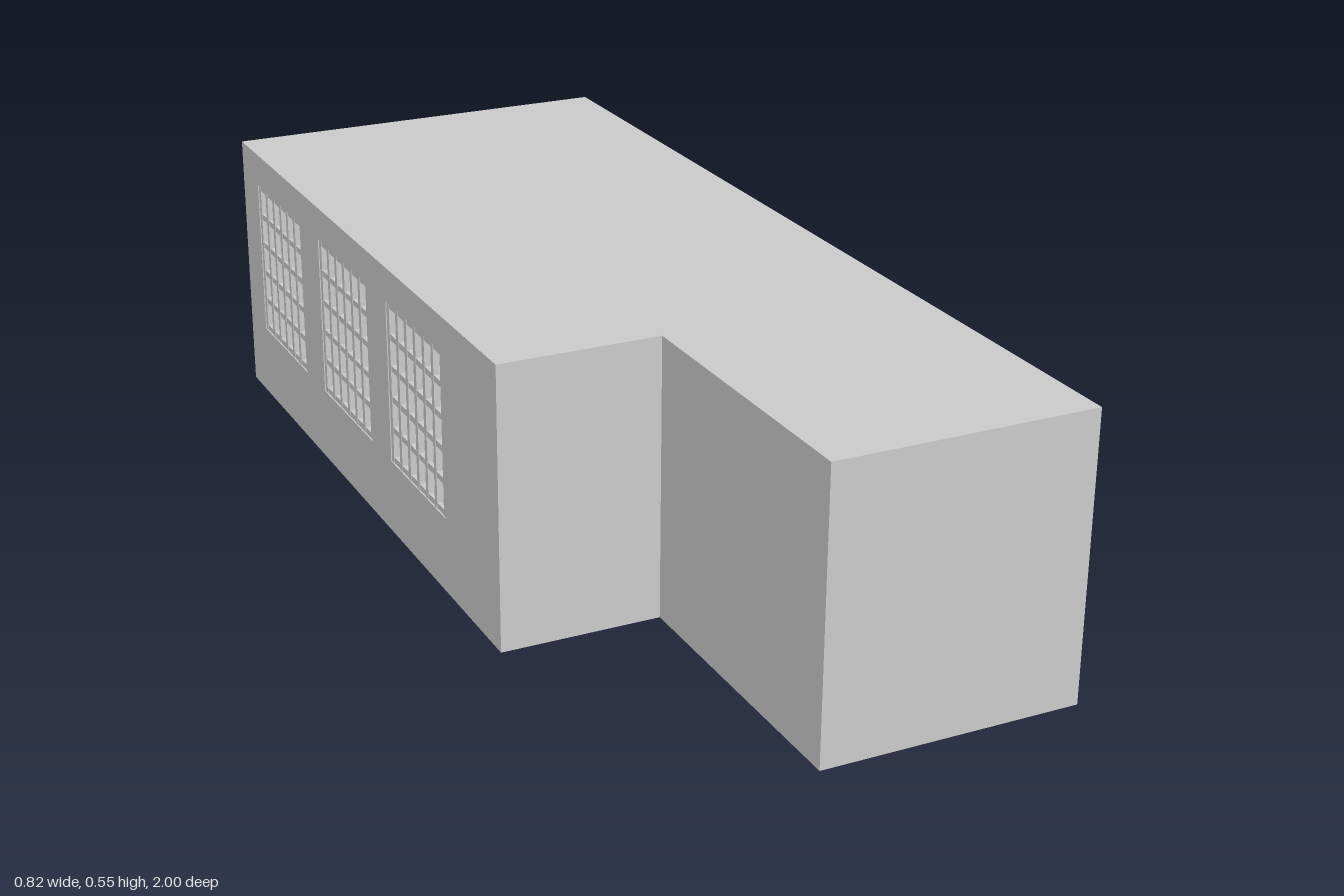
import * as THREE from 'three';

const W = 0.408, H = 0.55, T = 0.02;        // half width, height, wall thickness
const FLOOR = 0.006, ROOF = 0.012;          // slab thicknesses
const STEP_X = -0.095, STEP_Z = 0.415;      // inner corner of the L-shaped plan
const material = new THREE.MeshStandardMaterial({ color: 0xcccccc, flatShading: true });

function add(parent, name, geometry) {
  const mesh = new THREE.Mesh(geometry, material);
  mesh.name = name;
  parent.add(mesh);
  return mesh;
}

// box given by its minimum and maximum corners
function block(parent, name, [x0, y0, z0], [x1, y1, z1]) {
  add(parent, name, new THREE.BoxGeometry(x1 - x0, y1 - y0, z1 - z0))
    .position.set((x0 + x1) / 2, (y0 + y1) / 2, (z0 + z1) / 2);
}

// closed outline from corner points
const outline = (points, Type = THREE.Shape) => new Type(points.map(p => new THREE.Vector2(...p)));
const rect = (a0, b0, a1, b1) => [[a0, b0], [a1, b0], [a1, b1], [a0, b1]];

// L-shaped slab whose upper face lies at y = top
function slab(parent, name, top, depth) {
  const shape = outline([[-W, -1], [W, -1], [W, 1], [STEP_X, 1], [STEP_X, STEP_Z], [-W, STEP_Z]]);
  const geometry = new THREE.ExtrudeGeometry(shape, { depth, bevelEnabled: false });
  add(parent, name, geometry.rotateX(Math.PI / 2)).position.y = top;
}

// wall running along z, filling x from xMax - T to xMax, with rectangular openings
function sideWall(parent, name, xMax, z0, z1, openings = []) {
  const shape = outline(rect(z0, FLOOR, z1, H - ROOF));
  shape.holes = openings.map(o => outline(rect(...o).reverse(), THREE.Path));
  const geometry = new THREE.ExtrudeGeometry(shape, { depth: T, bevelEnabled: false });
  add(parent, name, geometry.rotateY(-Math.PI / 2)).position.x = xMax;
}

// glazing bars filling one window opening
function windowGrid(parent, [z0, y0, z1, y1]) {
  const group = new THREE.Group();
  group.name = 'windowGrid';
  const columns = 6, rows = 5, bar = 0.006;
  const xa = -W + 0.002, xb = -W + 0.014;
  for (let i = 0; i <= columns; i++) {
    const z = THREE.MathUtils.lerp(z0 + bar, z1 - bar, i / columns);
    block(group, 'verticalBar', [xa, y0, z - bar], [xb, y1, z + bar]);
  }
  for (let j = 0; j <= rows; j++) {
    const y = THREE.MathUtils.lerp(y0 + bar, y1 - bar, j / rows);
    block(group, 'horizontalBar', [xa + 0.001, y - bar, z0], [xb - 0.001, y + bar, z1]);
  }
  parent.add(group);
}

export function createModel() {
  const model = new THREE.Group();
  model.name = 'building';
  const low = FLOOR, high = H - ROOF;

  // floor and flat roof
  slab(model, 'floor', FLOOR, FLOOR);
  slab(model, 'roof', H, ROOF);

  // long walls, with the door on one side and three windows on the other
  const windows = [-0.9, -0.508, -0.122].map(z => [z, 0.152, z + 0.282, 0.482]);
  sideWall(model, 'doorWall', W, -1, 1, [[0.73, FLOOR + 0.001, 0.88, 0.25]]);
  sideWall(model, 'windowWall', -W + T, -1, STEP_Z, windows);
  sideWall(model, 'annexSideWall', STEP_X + T, STEP_Z - T, 1);
  windows.forEach(w => windowGrid(model, w));

  // cross walls
  block(model, 'backWall', [-W + T, low, -1], [W - T, high, -1 + T]);
  block(model, 'stepWall', [-W + T, low, STEP_Z - T], [STEP_X, high, STEP_Z]);
  block(model, 'frontWall', [STEP_X + T, low, 1 - T], [W - T, high, 1]);
  block(model, 'partition', [STEP_X + T, low, 0.66], [W - T, high, 0.68]);
  return model;
}
